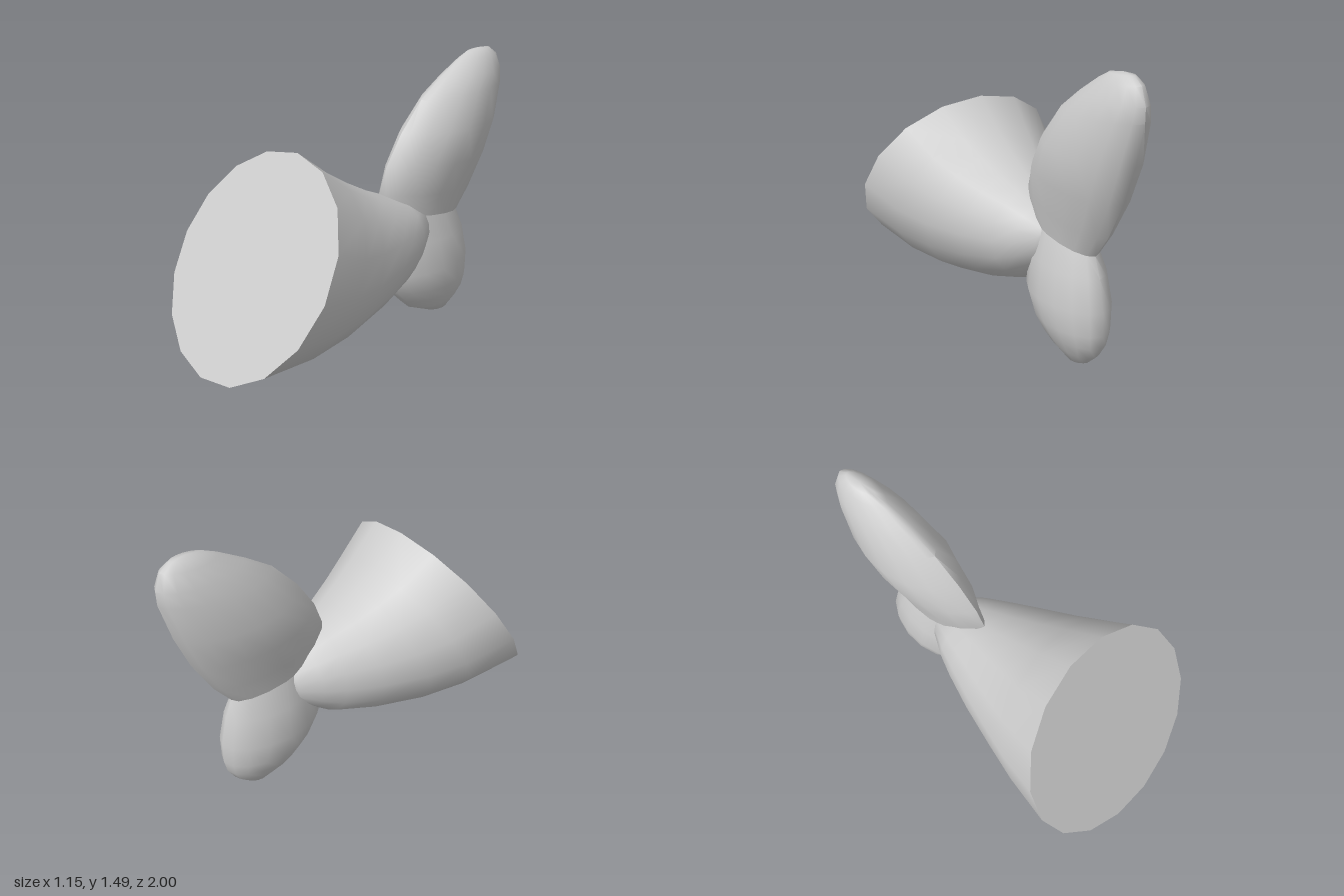
import * as THREE from 'three';
import { toCreasedNormals } from 'three/addons/utils/BufferGeometryUtils.js';

const SIDES = 16;
const material = new THREE.MeshStandardMaterial({ color: 0xcccccc });

// Round section: s runs along the ring's chord (0..1), x is the half-width factor
const round = (t) => [(1 - Math.cos(t)) / 2, Math.sin(t)];

// Leaf-like section with a sharp, thinner leading edge
const leaf = (t) => {
  const k = Math.sin(t);
  return [(1 - Math.cos(t)) / 2, Math.sign(k) * Math.abs(k) ** (Math.cos(t) > 0 ? 1.5 : 1.05)];
};

// Skin over rings given as [z0, y0, z1, y1, halfWidth]
function loft(name, rings, section, capStart, crease) {
  const points = rings.map(([z0, y0, z1, y1, w]) => Array.from({ length: SIDES }, (_, j) => {
    const [s, x] = section((j / SIDES) * Math.PI * 2);
    return new THREE.Vector3(w * x, y0 + (y1 - y0) * s, z0 + (z1 - z0) * s);
  }));
  const pos = [];
  const tri = (a, b, c) => {
    if (new THREE.Triangle(a, b, c).getArea() > 1e-8) {
      for (const p of [a, b, c]) pos.push(p.x, p.y, p.z);
    }
  };
  for (let i = 0; i < points.length - 1; i++) {
    for (let j = 0; j < SIDES; j++) {
      const k = (j + 1) % SIDES;
      const [a, b, c, d] = [points[i][j], points[i][k], points[i + 1][j], points[i + 1][k]];
      tri(a, b, c);
      tri(b, d, c);
    }
  }
  if (capStart) {
    const [z0, y0, z1, y1] = rings[0];
    const centre = new THREE.Vector3(0, (y0 + y1) / 2, (z0 + z1) / 2);
    for (let j = 0; j < SIDES; j++) tri(centre, points[0][(j + 1) % SIDES], points[0][j]);
  }
  const geometry = new THREE.BufferGeometry();
  geometry.setAttribute('position', new THREE.Float32BufferAttribute(pos, 3));
  const mesh = new THREE.Mesh(toCreasedNormals(geometry, crease), material);
  mesh.name = name;
  return mesh;
}

export function createModel() {
  const group = new THREE.Group();
  group.name = 'tail';

  // Tapering stem with a slanted flat front, rings listed front to back
  group.add(loft('tailStem', [
    [0.4, 1.13, 1.0, 0.145, 0.575],
    [0.22, 0.99, 0.66, 0.118, 0.495],
    [0.1, 0.915, 0.38, 0.135, 0.42],
    [-0.03, 0.845, 0.06, 0.21, 0.335],
    [-0.16, 0.79, -0.17, 0.29, 0.255],
    [-0.27, 0.74, -0.27, 0.365, 0.2],
    [-0.38, 0.685, -0.36, 0.44, 0.13],
    [-0.42, 0.64, -0.41, 0.53, 0.055],
    [-0.425, 0.6, -0.425, 0.6, 0],
  ], round, true, 0.95));

  // Ring where both fins meet
  const root = [-0.16, 0.68, -0.69, 0.6, 0.1];

  // Long upper fin, root to tip
  group.add(loft('upperFin', [
    root,
    [-0.12, 0.8, -0.78, 0.72, 0.12],
    [-0.17, 0.94, -0.88, 0.91, 0.158],
    [-0.27, 1.1, -0.95, 1.1, 0.172],
    [-0.41, 1.26, -1.0, 1.3, 0.133],
    [-0.55, 1.36, -1.0, 1.37, 0.105],
    [-0.68, 1.44, -0.97, 1.45, 0.065],
    [-0.75, 1.475, -0.92, 1.485, 0.035],
    [-0.84, 1.49, -0.84, 1.49, 0],
  ], leaf, false, 0.85));

  // Short lower fin, tip to root
  group.add(loft('lowerFin', [
    [-0.57, 0, -0.57, 0, 0],
    [-0.5, 0.01, -0.65, 0.025, 0.05],
    [-0.35, 0.075, -0.71, 0.08, 0.09],
    [-0.29, 0.13, -0.75, 0.15, 0.125],
    [-0.22, 0.2, -0.765, 0.22, 0.15],
    [-0.15, 0.32, -0.765, 0.34, 0.165],
    [-0.16, 0.5, -0.73, 0.5, 0.14],
    root,
  ], leaf, false, 0.85));

  return group;
}
